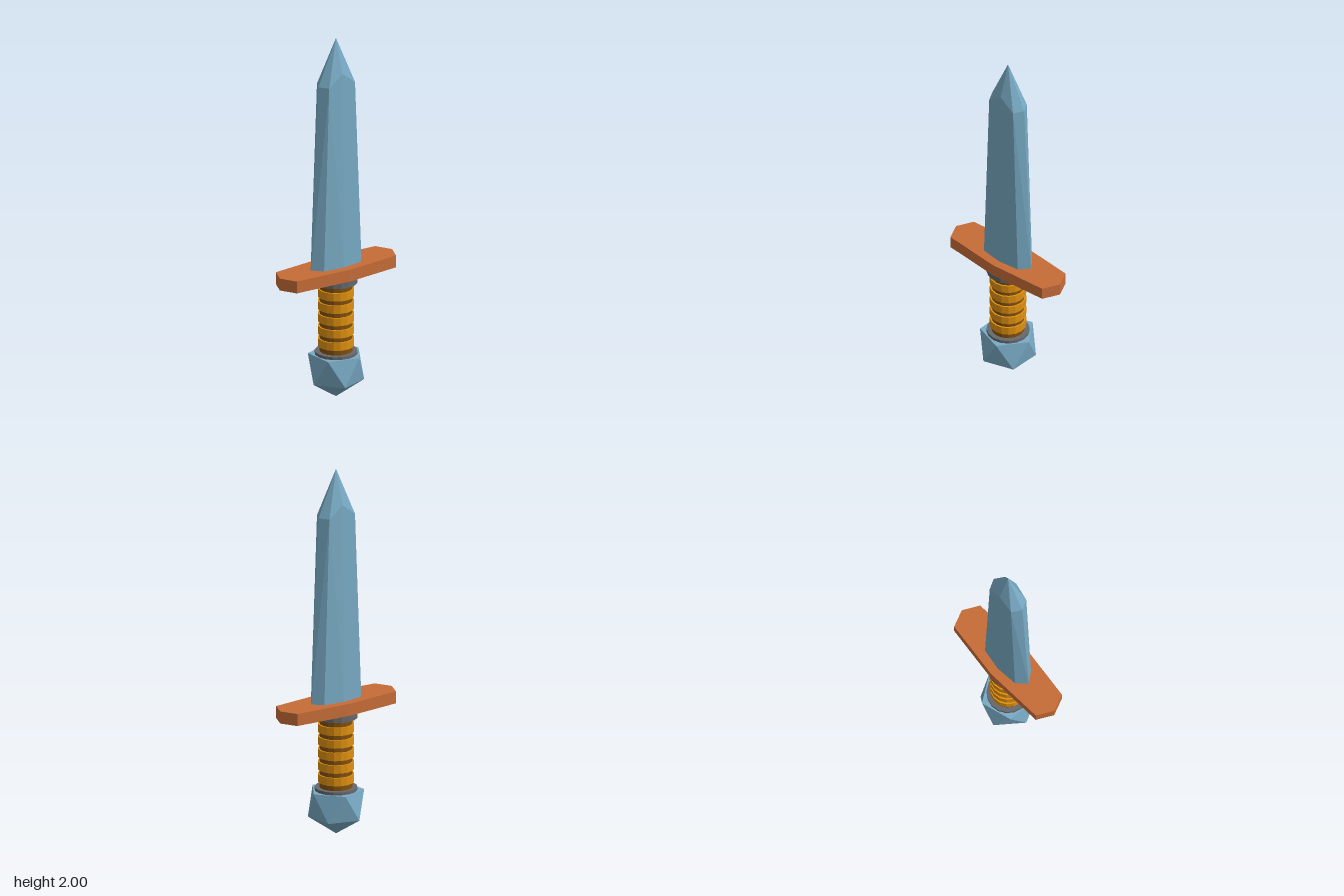
import * as THREE from 'three';
import { ConvexGeometry } from 'three/addons/geometries/ConvexGeometry.js';

const material = (name, color) => {
  const m = new THREE.MeshStandardMaterial({ color, flatShading: true });
  m.name = name;
  return m;
};

export function createModel() {
  const steel = material('blue steel', 0x78aac4);
  const copper = material('copper', 0xc66c37);
  const gold = material('gold wrap', 0xe0900f);
  const leather = material('brown leather', 0x82500f);
  const iron = material('dark iron', 0x66686c);

  const group = new THREE.Group();
  group.name = 'dagger';
  const add = (name, geometry, mat, y = 0) => {
    const mesh = new THREE.Mesh(geometry, mat);
    mesh.name = name;
    mesh.position.y = y;
    group.add(mesh);
    return mesh;
  };

  // Blade: eight-sided tapering section with a faceted point
  const blade = [new THREE.Vector3(0, 2, 0)];
  for (const s of [-1, 1]) {
    blade.push(
      new THREE.Vector3(s * 0.168, 0.72, 0),
      new THREE.Vector3(s * 0.115, 1.75, 0),
      new THREE.Vector3(0, 0.72, s * 0.07),
      new THREE.Vector3(0, 1.815, s * 0.057)
    );
    for (const t of [-1, 1]) {
      blade.push(
        new THREE.Vector3(s * 0.121, 0.72, t * 0.055),
        new THREE.Vector3(s * 0.085, 1.75, t * 0.053)
      );
    }
  }
  add('blade', new ConvexGeometry(blade), steel);

  // Crossguard: flat eight-cornered plate
  const outline = new THREE.Shape([
    [0.37, 0], [0.327, 0.09], [0, 0.116], [-0.327, 0.09],
    [-0.37, 0], [-0.327, -0.09], [0, -0.116], [0.327, -0.09],
  ].map(([x, y]) => new THREE.Vector2(x, y)));
  const guard = new THREE.ExtrudeGeometry(outline, { depth: 0.066, bevelEnabled: false });
  guard.rotateX(-Math.PI / 2);
  add('crossguard', guard, copper, 0.675);

  // Grip core with raised wraps
  add('grip', new THREE.CylinderGeometry(0.087, 0.087, 0.42, 16), leather, 0.45);
  for (let i = 0; i < 5; i++) {
    add('gripWrap', new THREE.CylinderGeometry(0.096, 0.096, 0.044, 16), gold, 0.312 + i * 0.0687);
  }

  // Collars at both ends of the grip
  add('upperCollar', new THREE.CylinderGeometry(0.113, 0.113, 0.035, 16), iron, 0.6585);
  add('lowerCollar', new THREE.CylinderGeometry(0.113, 0.113, 0.035, 16), iron, 0.2435);

  // Pommel: two opposed pentagons over a point
  const pommel = [new THREE.Vector3(0, 0.004, 0)];
  for (let i = 0; i < 5; i++) {
    const a = (i * Math.PI * 2) / 5;
    const x = 0.1475 * Math.cos(a), z = 0.1475 * Math.sin(a);
    pommel.push(new THREE.Vector3(x, 0.245, z), new THREE.Vector3(-x, 0.098, z));
  }
  add('pommel', new ConvexGeometry(pommel), steel);

  return group;
}
